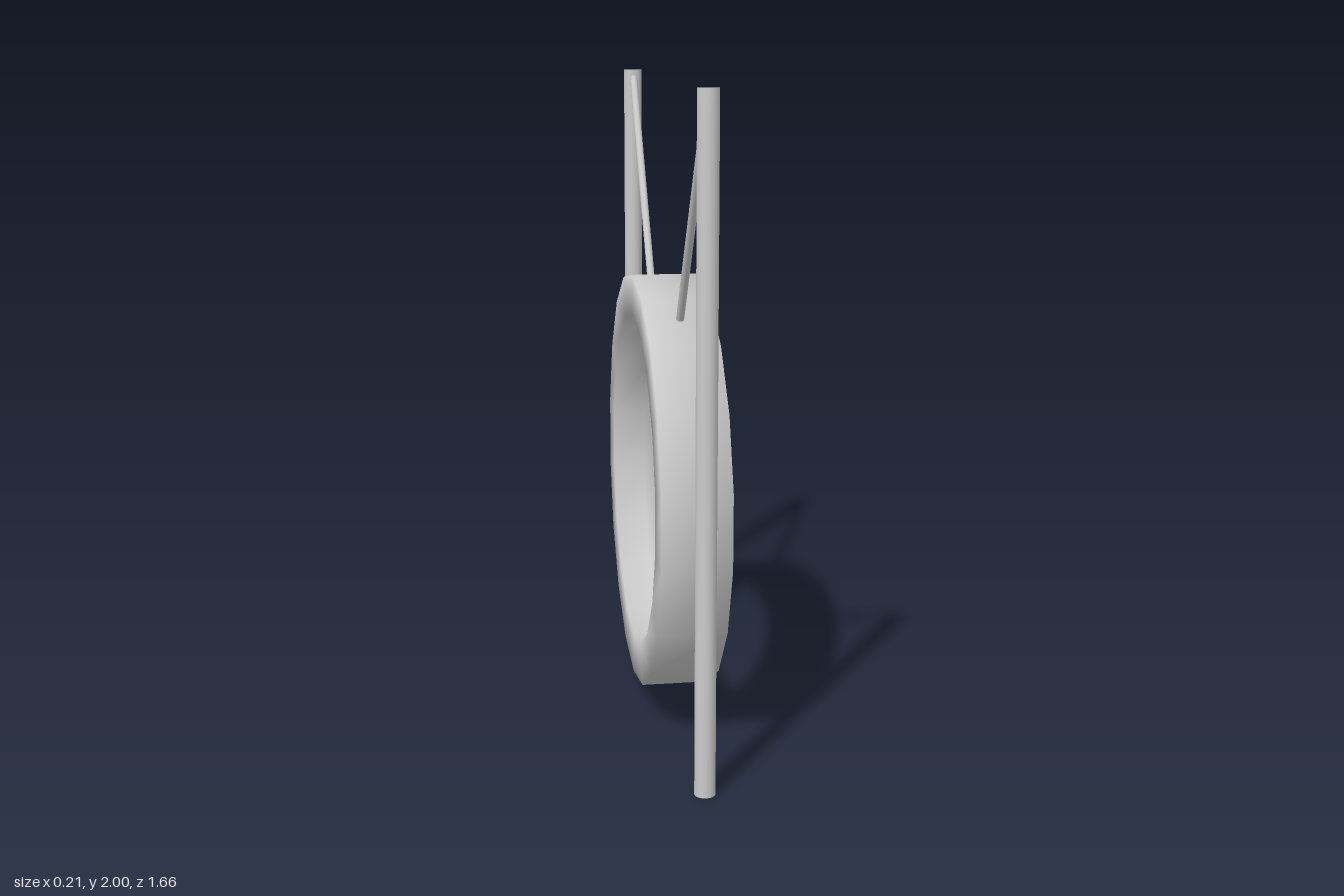
import * as THREE from 'three';

const material = new THREE.MeshStandardMaterial({ color: 0xcccccc });

function addMesh(parent, name, geometry) {
  const mesh = new THREE.Mesh(geometry, material);
  mesh.name = name;
  parent.add(mesh);
  return mesh;
}

// Round bar running from one point to another
function addBar(parent, name, from, to, radius, sides) {
  const dir = to.clone().sub(from);
  const bar = addMesh(parent, name, new THREE.CylinderGeometry(radius, radius, dir.length(), sides));
  bar.position.copy(from).addScaledVector(dir, 0.5);
  bar.quaternion.setFromUnitVectors(new THREE.Vector3(0, 1, 0), dir.normalize());
}

export function createModel() {
  const model = new THREE.Group();
  model.name = 'hangingRing';

  // Eighteen-sided ring with a rectangular section and softly shaded edges
  const inner = 0.53, outer = 0.66, half = 0.105;
  const section = [
    [inner, 0], [inner, -half], [outer, -half], [outer, half], [inner, half], [inner, 0],
  ].map(([r, y]) => new THREE.Vector2(r, y));
  const ringGeometry = new THREE.LatheGeometry(section, 18, Math.PI / 2);
  ringGeometry.normalizeNormals();
  ringGeometry.rotateZ(Math.PI / 2);
  addMesh(model, 'ring', ringGeometry).position.y = 0.73;

  // A pole and a slanted hanging rod at each end
  for (const [side, label] of [[1, 'front'], [-1, 'back']]) {
    addBar(model, label + 'Pole', new THREE.Vector3(0, 0, 0.8 * side),
      new THREE.Vector3(0, 2, 0.8 * side), 0.031, 16);
    addBar(model, label + 'Rod', new THREE.Vector3(0, 1.29, 0.305 * side),
      new THREE.Vector3(0, 1.99, 0.79 * side), 0.0125, 12);
  }
  return model;
}
